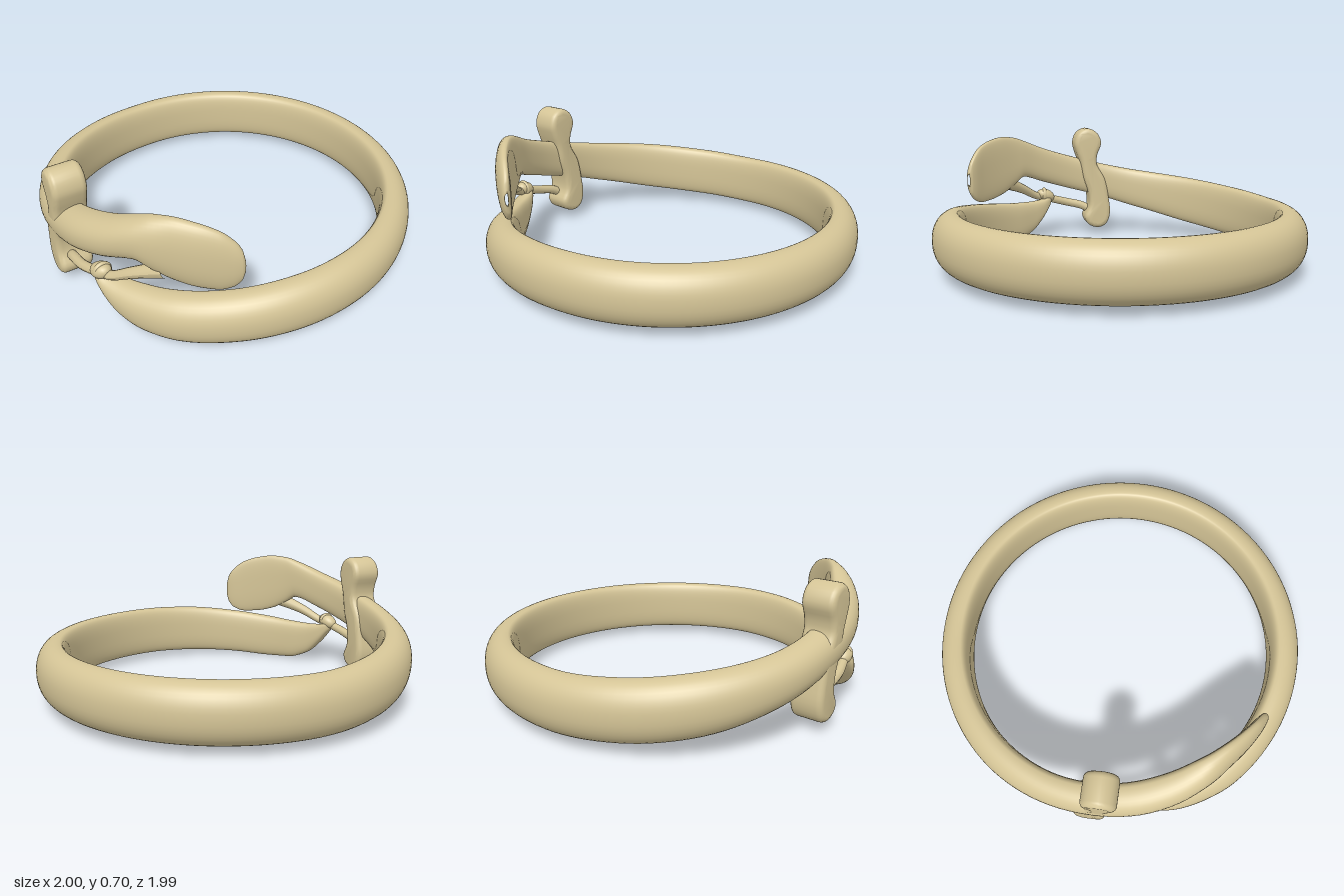
import * as THREE from 'three';
import { toCreasedNormals } from 'three/addons/utils/BufferGeometryUtils.js';

const RAD = Math.PI / 180;

// Point at an angle around the ring (0 = front, positive towards +x)
const polar = (deg, r, y) => new THREE.Vector3(r * Math.sin(deg * RAD), y, r * Math.cos(deg * RAD));

// Stations along the wrap: angle, bottom, top, inner radius, outer radius
const STATIONS = [
  [6.5, 0.235, 0.265, 0.91, 0.94],
  [8, 0.2, 0.262, 0.88, 0.955],
  [12, 0.12, 0.245, 0.86, 0.97],
  [17, 0.05, 0.24, 0.85, 0.98],
  [25, 0.006, 0.245, 0.84, 0.99],
  [35, 0.0, 0.262, 0.84, 1],
  [50, 0.015, 0.29, 0.84, 1],
  [70, 0.032, 0.32, 0.84, 1],
  [90, 0.04, 0.33, 0.84, 1],
  [180, 0.04, 0.33, 0.84, 1],
  [262, 0.04, 0.33, 0.84, 1],
  [285, 0.055, 0.35, 0.84, 1],
  [305, 0.09, 0.38, 0.84, 1],
  [330, 0.18, 0.425, 0.84, 0.995],
  [348, 0.265, 0.48, 0.835, 0.99],
  [360, 0.315, 0.53, 0.83, 0.99],
  [372, 0.37, 0.585, 0.825, 0.98],
  [382, 0.412, 0.64, 0.825, 0.96],
  [387, 0.37, 0.662, 0.828, 0.948],
  [393, 0.327, 0.67, 0.832, 0.932],
  [400, 0.302, 0.655, 0.84, 0.925],
  [406, 0.296, 0.625, 0.85, 0.92],
  [410, 0.315, 0.58, 0.858, 0.916],
  [412.5, 0.355, 0.53, 0.87, 0.91],
  [413.5, 0.41, 0.47, 0.885, 0.9],
];

// Smooth interpolation between stations i and i + 1
function station(i, t) {
  const a = STATIONS[i], b = STATIONS[i + 1], w = b[0] - a[0];
  const slope = (n, k) => {
    const p = STATIONS[Math.max(n - 1, 0)], q = STATIONS[n], s = STATIONS[Math.min(n + 1, STATIONS.length - 1)];
    const m0 = p === q ? 0 : (q[k] - p[k]) / (q[0] - p[0]);
    const m1 = s === q ? 0 : (s[k] - q[k]) / (s[0] - q[0]);
    if (p === q) return m1;
    if (s === q) return m0;
    return m0 * m1 <= 0 ? 0 : (2 * m0 * m1) / (m0 + m1);
  };
  return a.map((v, k) => k === 0 ? v + w * t :
    v * (1 + 2 * t) * (1 - t) ** 2 + b[k] * t * t * (3 - 2 * t) +
    w * (slope(i, k) * t * (1 - t) ** 2 - slope(i + 1, k) * t * t * (1 - t)));
}

// Domed outside, flat rounded inside, swept around the ring
function bandGeometry() {
  const rows = [], SEG = 40;
  for (let i = 0; i < STATIONS.length - 1; i++) {
    const n = Math.max(4, Math.ceil((STATIONS[i + 1][0] - STATIONS[i][0]) / 3));
    for (let k = 0; k < n; k++) rows.push(station(i, k / n));
  }
  rows.push(STATIONS[STATIONS.length - 1]);
  const pos = [], idx = [];
  for (const [deg, y0, y1, ri, ro] of rows) {
    const rm = ri + (ro - ri) * 0.32;
    for (let j = 0; j < SEG; j++) {
      const a = (j / SEG) * Math.PI * 2, c = Math.cos(a), s = Math.sin(a);
      const outer = c >= 0;
      const r = outer ? rm + (ro - rm) * c : rm - (rm - ri) * Math.pow(-c, 0.6);
      const y = (y0 + y1) / 2 + ((y1 - y0) / 2) * Math.sign(s) * Math.pow(Math.abs(s), outer ? 0.9 : 0.75);
      pos.push(...polar(deg, r, y).toArray());
    }
  }
  for (let i = 0; i < rows.length - 1; i++) {
    for (let j = 0; j < SEG; j++) {
      const a = i * SEG + j, b = i * SEG + ((j + 1) % SEG);
      idx.push(a, a + SEG, b, b, a + SEG, b + SEG);
    }
  }
  // Closed ends
  [0, rows.length - 1].forEach((row, end) => {
    const [deg, y0, y1, ri, ro] = rows[row], centre = pos.length / 3;
    pos.push(...polar(deg, (ri + ro) / 2, (y0 + y1) / 2).toArray());
    for (let j = 0; j < SEG; j++) {
      const a = row * SEG + j, b = row * SEG + ((j + 1) % SEG);
      if (end) idx.push(centre, a, b); else idx.push(centre, b, a);
    }
  });
  const g = new THREE.BufferGeometry();
  g.setAttribute('position', new THREE.Float32BufferAttribute(pos, 3));
  g.setIndex(idx);
  g.computeVertexNormals();
  return g;
}

// Upright bar with bulging ends, extruded towards the ring's centre
function crossBarGeometry() {
  const outline = [
    [-0.15, 0.705], [-0.215, 0.675], [-0.242, 0.61], [-0.215, 0.53], [-0.212, 0.47], [-0.265, 0.37],
    [-0.29, 0.25], [-0.3, 0.14], [-0.275, 0.07], [-0.22, 0.045], [-0.155, 0.068], [-0.13, 0.12],
    [-0.16, 0.19], [-0.155, 0.28], [-0.12, 0.38], [-0.102, 0.48], [-0.078, 0.55], [-0.066, 0.61], [-0.09, 0.675],
  ].map(([x, y]) => new THREE.Vector3(x + 0.18, y, 0));
  const curve = new THREE.CatmullRomCurve3(outline, true);
  const shape = new THREE.Shape(curve.getPoints(72).slice(0, -1).map(p => new THREE.Vector2(p.x, p.y)).reverse());
  const bevel = 0.03;
  const g = new THREE.ExtrudeGeometry(shape, {
    depth: 0.172 - 2 * bevel, bevelThickness: bevel, bevelSize: bevel, bevelOffset: -bevel, bevelSegments: 5,
  });
  g.translate(0, 0, 0.812 + bevel);
  return toCreasedNormals(g, 0.7);
}

// Round stem along a curve with changing radius
function stemGeometry(points, r0, r1) {
  const curve = new THREE.CatmullRomCurve3(points), N = 16, S = 12;
  const g = new THREE.TubeGeometry(curve, N, 1, S);
  const p = g.attributes.position, v = new THREE.Vector3();
  for (let i = 0; i <= N; i++) {
    const c = curve.getPointAt(i / N), r = r0 + (r1 - r0) * (i / N) ** 2;
    for (let j = 0; j <= S; j++) {
      const k = i * (S + 1) + j;
      v.fromBufferAttribute(p, k).sub(c).multiplyScalar(r).add(c);
      p.setXYZ(k, v.x, v.y, v.z);
    }
  }
  g.computeVertexNormals();
  return g;
}

export function createModel() {
  const group = new THREE.Group();
  const material = new THREE.MeshStandardMaterial({ color: 0xd4c496 });
  material.name = 'pale gold';
  const add = (name, geometry) => {
    const mesh = new THREE.Mesh(geometry, material);
    mesh.name = name;
    group.add(mesh);
    return mesh;
  };

  add('wrapBand', bandGeometry());
  add('crossBar', crossBarGeometry()).rotation.y = -10.5 * RAD;

  // Thin stems linking the bar, the knot and the paddle end
  add('barStem', stemGeometry([polar(-12, 0.91, 0.14), polar(-7, 0.92, 0.185), polar(0, 0.93, 0.215), polar(8, 0.93, 0.25)], 0.026, 0.024));
  add('paddleStem', stemGeometry([polar(8, 0.93, 0.25), polar(13, 0.925, 0.27), polar(20, 0.905, 0.325), polar(30, 0.885, 0.385)], 0.022, 0.042));

  // Small knot on the lower tip
  const knot = add('knot', new THREE.SphereGeometry(1, 24, 16));
  knot.scale.set(0.062, 0.04, 0.045);
  knot.position.copy(polar(8.8, 0.925, 0.268));
  knot.rotation.set(0, 8.8 * RAD, 0.4);
  const collar = add('knotCollar', new THREE.TorusGeometry(0.034, 0.014, 10, 24));
  collar.position.copy(polar(9.5, 0.925, 0.272));
  collar.rotation.set(0, 80 * RAD, 0);

  return group;
}
